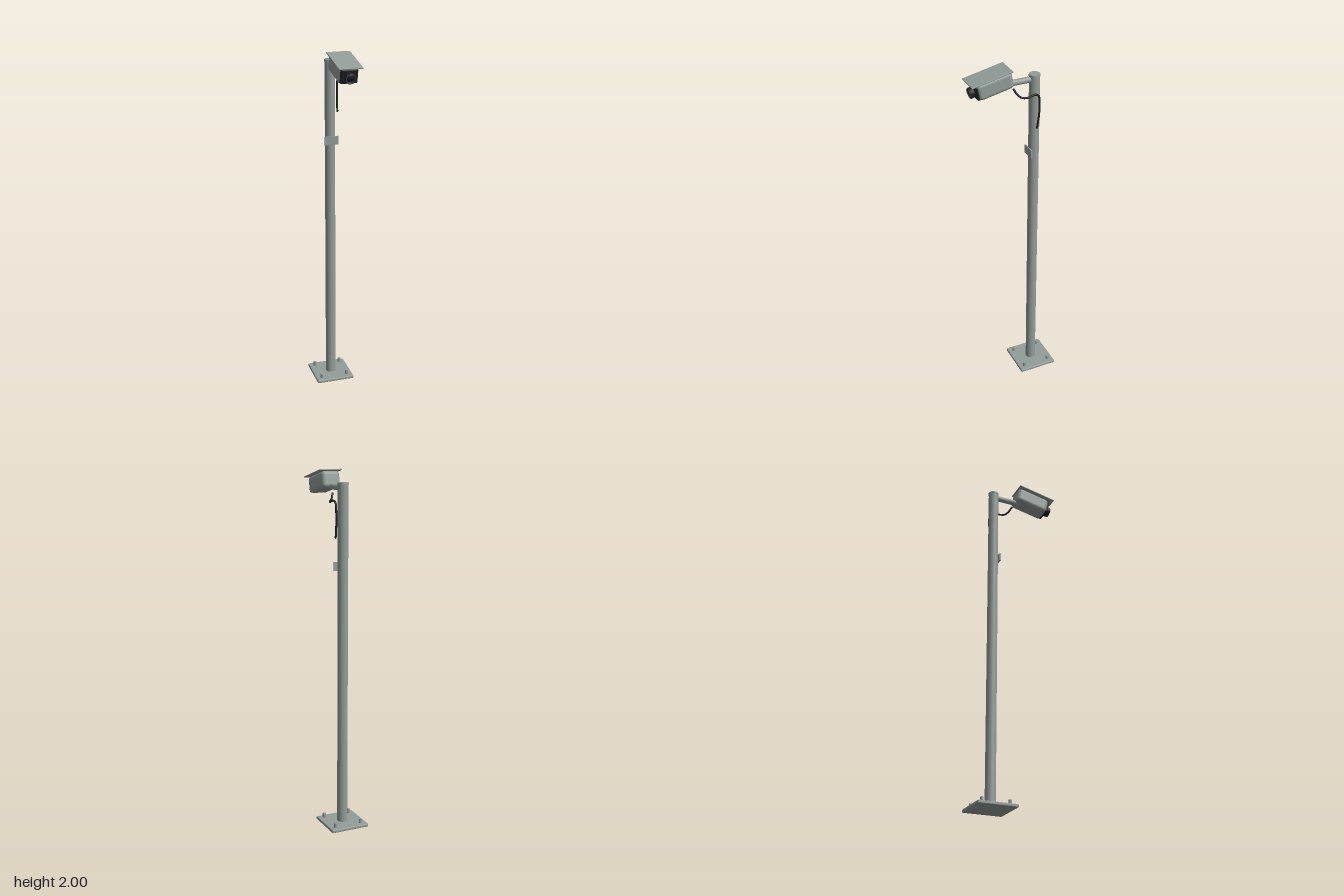
import * as THREE from 'three';
import { RoundedBoxGeometry } from 'three/addons/geometries/RoundedBoxGeometry.js';

const material = (name, color) => {
  const m = new THREE.MeshStandardMaterial({ color });
  m.name = name;
  return m;
};

export function createModel() {
  const steel = material('grey painted steel', 0x929d99);
  const black = material('black plastic', 0x1c2021);
  const trim = material('dark lens trim', 0x3a4143);
  const glass = material('lens glass', 0x14191d);

  const model = new THREE.Group();
  model.name = 'surveillanceCameraPole';
  const POLE_Z = -0.133;

  const add = (parent, name, geometry, mat, x, y, z) => {
    const mesh = new THREE.Mesh(geometry, mat);
    mesh.name = name;
    mesh.position.set(x, y, z);
    parent.add(mesh);
    return mesh;
  };

  // Base plate with four anchor bolts
  add(model, 'basePlate', new RoundedBoxGeometry(0.225, 0.018, 0.225, 2, 0.005), steel, 0, 0.009, POLE_Z);
  for (const sx of [-1, 1]) {
    for (const sz of [-1, 1]) {
      add(model, 'anchorBolt', new THREE.CylinderGeometry(0.009, 0.009, 0.03, 16), steel,
        sx * 0.078, 0.028, POLE_Z + sz * 0.078);
    }
  }

  // Pole, cap and front mounting tag
  add(model, 'pole', new THREE.CylinderGeometry(0.029, 0.029, 1.915, 32), steel, 0, 0.9675, POLE_Z);
  add(model, 'poleCap', new THREE.CylinderGeometry(0.03, 0.031, 0.012, 32), steel, 0, 1.927, POLE_Z);
  add(model, 'mountingTag', new THREE.BoxGeometry(0.08, 0.048, 0.008), steel, 0, 1.484, POLE_Z + 0.03);

  // Horizontal arm
  const arm = add(model, 'arm', new THREE.CylinderGeometry(0.016, 0.016, 0.165, 24), steel, 0, 1.905, -0.0505);
  arm.rotation.x = Math.PI / 2;

  // Camera head, tilted down
  const head = new THREE.Group();
  head.name = 'cameraHead';
  head.position.set(0, 1.925, 0.106);
  head.rotation.x = THREE.MathUtils.degToRad(12);
  model.add(head);

  add(head, 'housing', new RoundedBoxGeometry(0.108, 0.092, 0.2, 5, 0.021), steel, 0, 0, 0);
  add(head, 'sunHood', new RoundedBoxGeometry(0.13, 0.007, 0.23, 2, 0.002), steel, 0, 0.0505, 0.0127);
  add(head, 'frontBezel', new RoundedBoxGeometry(0.094, 0.078, 0.02, 3, 0.008), black, 0, -0.001, 0.097);

  // Lens: hollow barrel, trim ring and domed glass
  const barrelProfile = [[0.029, 0], [0.029, 0.022], [0.027, 0.025], [0.022, 0.025], [0.02, 0.012], [0, 0.012]]
    .map(([r, y]) => new THREE.Vector2(r, y));
  const barrel = add(head, 'lensBarrel', new THREE.LatheGeometry(barrelProfile, 32), black, 0, -0.004, 0.105);
  barrel.rotation.x = Math.PI / 2;
  barrel.material.side = THREE.DoubleSide;
  add(head, 'lensRing', new THREE.TorusGeometry(0.0245, 0.003, 8, 32), trim, 0, -0.004, 0.13);
  const dome = add(head, 'lensGlass',
    new THREE.SphereGeometry(0.021, 24, 10, 0, Math.PI * 2, 0, Math.PI / 2), glass, 0, -0.004, 0.116);
  dome.rotation.x = Math.PI / 2;
  dome.scale.y = 0.5;

  // Hanging cable with rounded ends
  const path = new THREE.CatmullRomCurve3([
    [0.005, 1.87, -0.012], [0.018, 1.842, -0.028], [0.036, 1.829, -0.046], [0.047, 1.829, -0.075],
    [0.047, 1.838, -0.115], [0.045, 1.825, -0.136], [0.044, 1.78, -0.142], [0.043, 1.715, -0.141],
    [0.042, 1.642, -0.131],
  ].map((p) => new THREE.Vector3(...p)));
  add(model, 'cable', new THREE.TubeGeometry(path, 64, 0.0055, 10), black, 0, 0, 0);
  for (const t of [0, 1]) {
    const p = path.getPoint(t);
    add(model, 'cableEnd', new THREE.SphereGeometry(0.0055, 10, 8), black, p.x, p.y, p.z);
  }

  return model;
}
